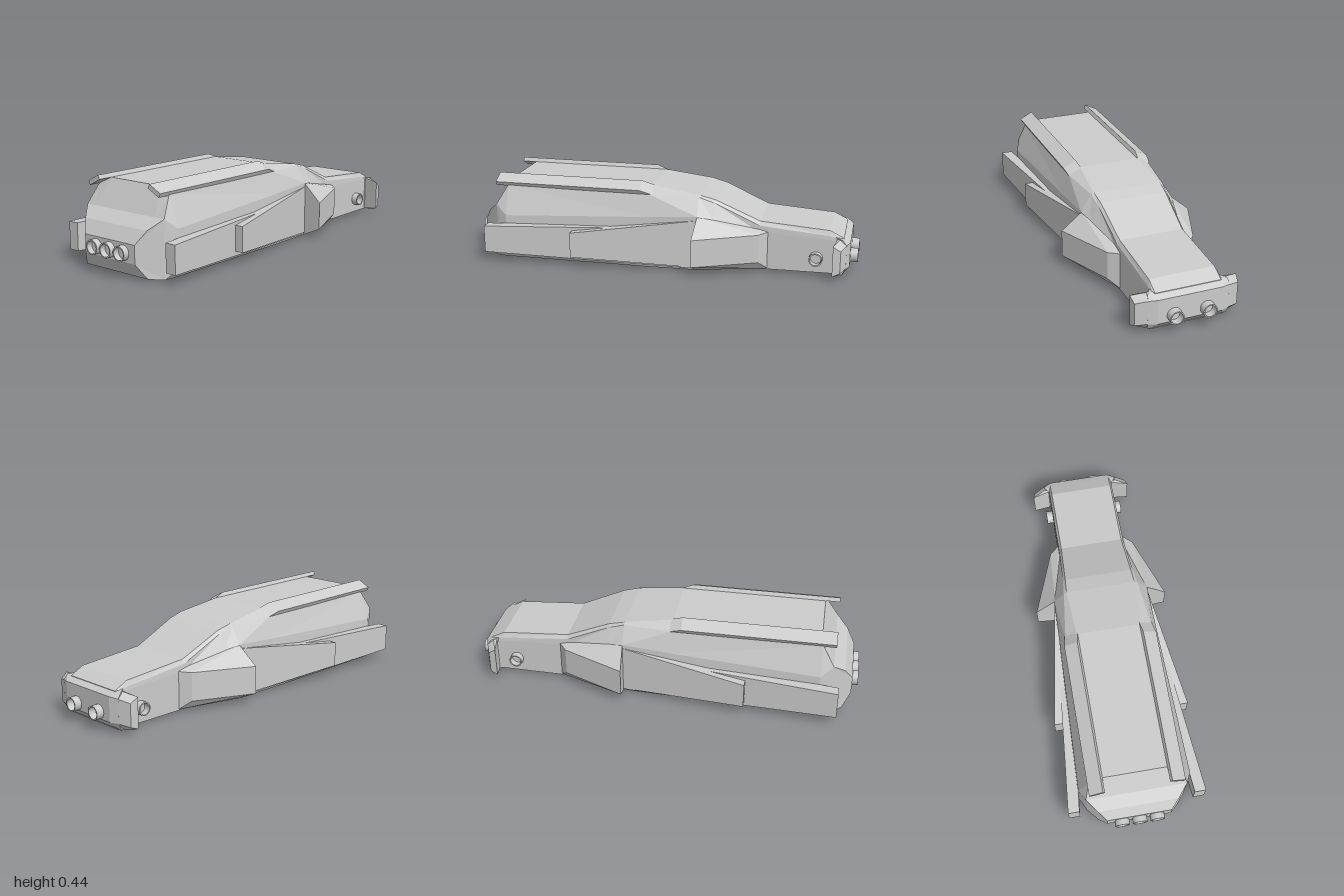
import * as THREE from 'three';
import { ConvexGeometry } from 'three/addons/geometries/ConvexGeometry.js';

const material = new THREE.MeshStandardMaterial({ color: 0xcccccc, flatShading: true });
const smooth = new THREE.MeshStandardMaterial({ color: 0xcccccc, side: THREE.DoubleSide });

// Faceted skin through half sections (listed bottom to top, then mirrored), front to back
function loft(sections) {
  const rings = sections.map((half) => [
    ...half,
    ...half.slice().reverse().map(([x, y, z]) => [-x, y, z]),
  ].map((p) => new THREE.Vector3(...p)));
  const out = [];
  const tri = (a, b, c) => {
    const area = b.clone().sub(a).cross(c.clone().sub(a)).length();
    if (area > 1e-7) for (const p of [a, b, c]) out.push(p.x, p.y, p.z);
  };
  const n = rings[0].length;
  for (let i = 0; i + 1 < rings.length; i++) {
    for (let j = 0; j < n; j++) {
      const k = (j + 1) % n;
      const a = rings[i][j], b = rings[i][k], c = rings[i + 1][k], d = rings[i + 1][j];
      if (j < n / 2) { tri(a, d, b); tri(b, d, c); }
      else { tri(a, d, c); tri(a, c, b); }
    }
  }
  const first = rings[0], last = rings[rings.length - 1];
  for (let j = 1; j + 1 < n; j++) {
    tri(first[0], first[j], first[j + 1]);
    tri(last[0], last[j + 1], last[j]);
  }
  const g = new THREE.BufferGeometry();
  g.setAttribute('position', new THREE.Float32BufferAttribute(out, 3));
  g.computeVertexNormals();
  return g;
}

// Convex block from corner points; s mirrors it across x
function block(name, points, s = 1) {
  const g = new ConvexGeometry(points.map(([x, y, z]) => new THREE.Vector3(s * x, y, z)));
  const m = new THREE.Mesh(g, material);
  m.name = name;
  return m;
}

// Vertical edge: two corners at the same x and z
const edge = (x, z, y0, y1) => [[x, y0, z], [x, y1, z]];

// Open nozzle with a recessed disc, standing along +y
function nozzle(name, r, length) {
  const w = r * 0.82, h = length / 2;
  const corners = [[w, -h], [r, -h], [r, h], [w, h], [w, -h * 0.6], [0, -h * 0.6]];
  // doubled profile corners keep the rims sharp
  const group = new THREE.Group();
  group.name = name;
  for (let i = 0; i + 1 < corners.length; i++) {
    const pts = [corners[i], corners[i + 1]].map((p) => new THREE.Vector2(...p));
    group.add(new THREE.Mesh(new THREE.LatheGeometry(pts, 24), smooth));
  }
  group.children.forEach((m) => { m.name = name + 'Surface'; });
  return group;
}

export function createModel() {
  const model = new THREE.Group();

  // Hull: bottom, lower side, belt, shoulder, roof edge
  const section = (z, ...pts) => pts.map(([x, y, pz = z]) => [x, y, pz]);
  const hull = new THREE.Mesh(loft([
    section(0.97, [0.165, 0.08], [0.165, 0.08], [0.165, 0.17], [0.165, 0.17], [0.165, 0.17]),
    section(0.87, [0.205, 0.01, 0.93], [0.255, 0.002], [0.255, 0.285], [0.205, 0.235, 0.93], [0.205, 0.235, 0.93]),
    section(0.87, [0.255, 0.002], [0.255, 0.002], [0.255, 0.285], [0.255, 0.285], [0.2, 0.285]),
    section(0.81, [0.255, 0], [0.29, 0.05], [0.285, 0.235], [0.23, 0.385], [0.165, 0.415, 0.8]),
    section(0.05, [0.25, 0], [0.265, 0.035], [0.258, 0.27], [0.225, 0.38], [0.165, 0.415]),
    section(-0.2, [0.24, 0], [0.25, 0.03], [0.25, 0.285], [0.195, 0.372], [0.18, 0.38]),
    section(-0.28, [0.225, 0.005], [0.235, 0.03], [0.23, 0.265], [0.188, 0.345], [0.175, 0.36]),
    section(-0.51, [0.18, 0.012], [0.18, 0.03], [0.18, 0.205], [0.178, 0.24], [0.165, 0.26]),
    section(-0.86, [0.178, 0.015], [0.178, 0.03], [0.178, 0.19], [0.176, 0.21], [0.165, 0.235]),
    section(-0.93, [0.178, 0.015], [0.178, 0.03], [0.178, 0.17], [0.176, 0.19], [0.165, 0.2]),
  ]), material);
  hull.name = 'hull';
  model.add(hull);

  // Rear bumper plate
  const bumper = [];
  for (const s of [-1, 1]) {
    bumper.push(...edge(s * 0.16, -0.962, 0.055, 0.18), ...edge(s * 0.205, -0.945, 0.055, 0.175),
      ...edge(s * 0.2, -0.925, 0.015, 0.2), ...edge(s * 0.175, -0.89, 0.015, 0.205));
  }
  model.add(block('rearBumper', bumper));

  for (const s of [1, -1]) {
    const side = s > 0 ? 'left' : 'right';

    // Swept armour wedges that merge into the hull towards the rear
    model.add(block(side + 'FrontWedge', [
      ...edge(0.353, 0.905, 0.05, 0.19), ...edge(0.295, 0.905, 0.05, 0.19),
      ...edge(0.25, -0.18, 0.01, 0.22), ...edge(0.2, -0.1, 0.01, 0.22),
    ], s));
    model.add(block(side + 'MiddleWedge', [
      ...edge(0.352, 0.44, 0.055, 0.185), ...edge(0.27, 0.44, 0.055, 0.185),
      ...edge(0.25, -0.2, 0.015, 0.265), ...edge(0.2, -0.2, 0.015, 0.265),
    ], s));
    model.add(block(side + 'RearWedge', [
      ...edge(0.352, -0.19, 0.05, 0.192), ...edge(0.245, -0.2, 0.002, 0.285),
      ...edge(0.228, -0.51, 0.06, 0.205), ...edge(0.175, -0.555, 0.015, 0.21),
      ...edge(0.15, -0.5, 0.015, 0.22),
    ], s));

    // Roof edge rail, sinking into the roof at its rear
    model.add(block(side + 'RoofRail', [
      [0.16, 0.415, 0.875], [0.17, 0.435, 0.875], [0.238, 0.4, 0.875], [0.228, 0.38, 0.875],
      [0.16, 0.415, 0.04], [0.17, 0.435, 0.1], [0.238, 0.4, 0.1], [0.228, 0.38, 0.04],
    ], s));

    // Bumper end folded forward
    model.add(block(side + 'BumperWing', [
      ...edge(0.2, -0.947, 0.055, 0.175), ...edge(0.2, -0.91, 0.015, 0.2),
      ...edge(0.26, -0.92, 0.045, 0.16), ...edge(0.268, -0.882, 0.03, 0.185),
      ...edge(0.17, -0.9, 0.015, 0.2),
    ], s));

    // Side and rear nozzles
    const sideNozzle = nozzle(side + 'SideNozzle', 0.034, 0.05);
    sideNozzle.rotation.z = -s * Math.PI / 2;
    sideNozzle.position.set(s * 0.187, 0.09, -0.795);
    const rearNozzle = nozzle(side + 'RearNozzle', 0.035, 0.05);
    rearNozzle.rotation.x = -Math.PI / 2;
    rearNozzle.position.set(s * 0.083, 0.09, -0.975);
    model.add(sideNozzle, rearNozzle);
  }

  // Three front nozzles
  for (const x of [-0.09, 0, 0.09]) {
    const front = nozzle('frontNozzle', 0.037, 0.05);
    front.rotation.x = Math.PI / 2;
    front.position.set(x, 0.123, 0.975);
    model.add(front);
  }
  return model;
}
